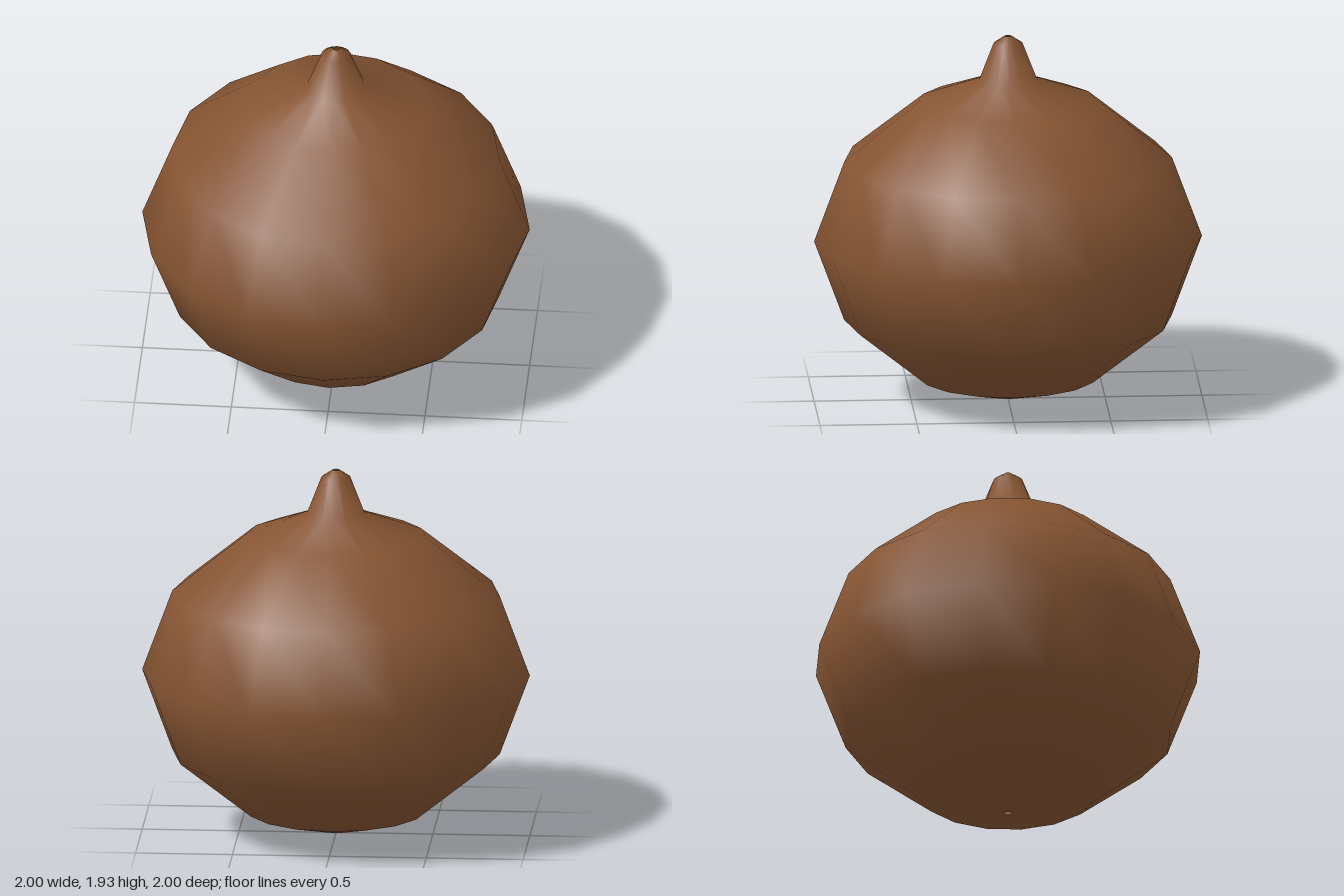
import * as THREE from 'three';

export function createModel() {
  const group = new THREE.Group();
  group.name = 'gourd';

  const brown = new THREE.MeshStandardMaterial({ color: 0x855432, side: THREE.DoubleSide });
  brown.name = 'brown';

  // Outline from base to tip: round belly, then a short tapered neck,
  // with a pinhole at both ends
  const profile = [
    [0.018, 0], [0.46, 0.12], [0.845, 0.43], [1, 0.85], [0.845, 1.27],
    [0.46, 1.58], [0.15, 1.695], [0.075, 1.888], [0.018, 1.927],
  ].map(([r, y]) => new THREE.Vector2(r, y));

  const body = new THREE.Mesh(new THREE.LatheGeometry(profile, 16), brown);
  body.name = 'body';
  group.add(body);

  return group;
}
